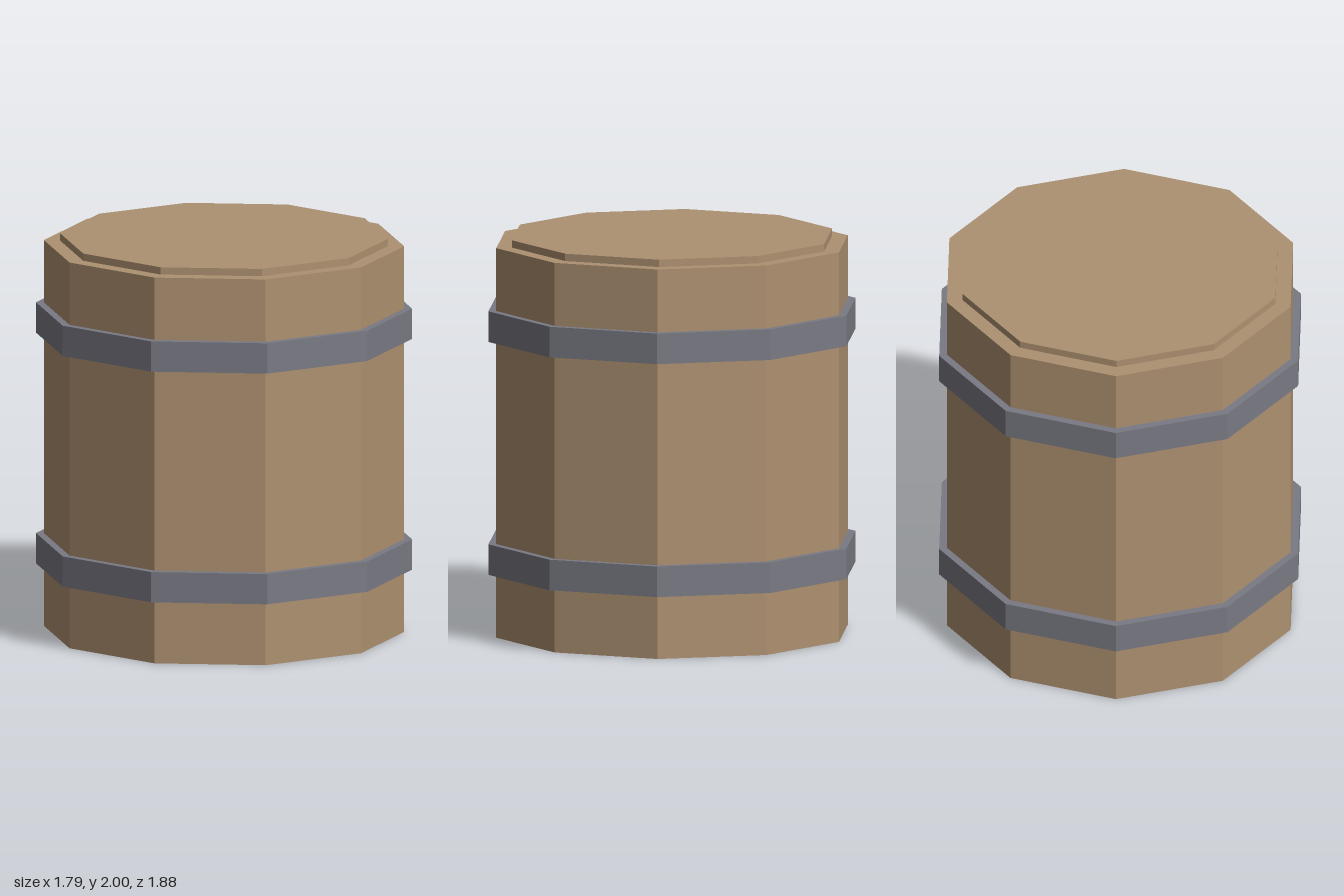
import * as THREE from 'three';

const SIDES = 10;

export function createModel() {
  const wood = new THREE.MeshStandardMaterial({ color: 0xae9171, flatShading: true });
  wood.name = 'wood';
  const iron = new THREE.MeshStandardMaterial({ color: 0x7a7a84, flatShading: true });
  iron.name = 'iron';

  const barrel = new THREE.Group();
  barrel.name = 'barrel';

  // Ten-sided upright prism between two heights, with a corner facing the front
  function addPrism(name, radius, bottom, top, material) {
    const geometry = new THREE.CylinderGeometry(radius, radius, top - bottom, SIDES);
    const mesh = new THREE.Mesh(geometry, material);
    mesh.name = name;
    mesh.position.y = (bottom + top) / 2;
    barrel.add(mesh);
  }

  // Wooden body and the slightly raised lid
  addPrism('body', 0.9, 0, 1.963, wood);
  addPrism('lid', 0.82, 1.95, 2, wood);

  // Iron hoops
  addPrism('lowerHoop', 0.94, 0.318, 0.472, iron);
  addPrism('upperHoop', 0.94, 1.492, 1.646, iron);

  return barrel;
}
